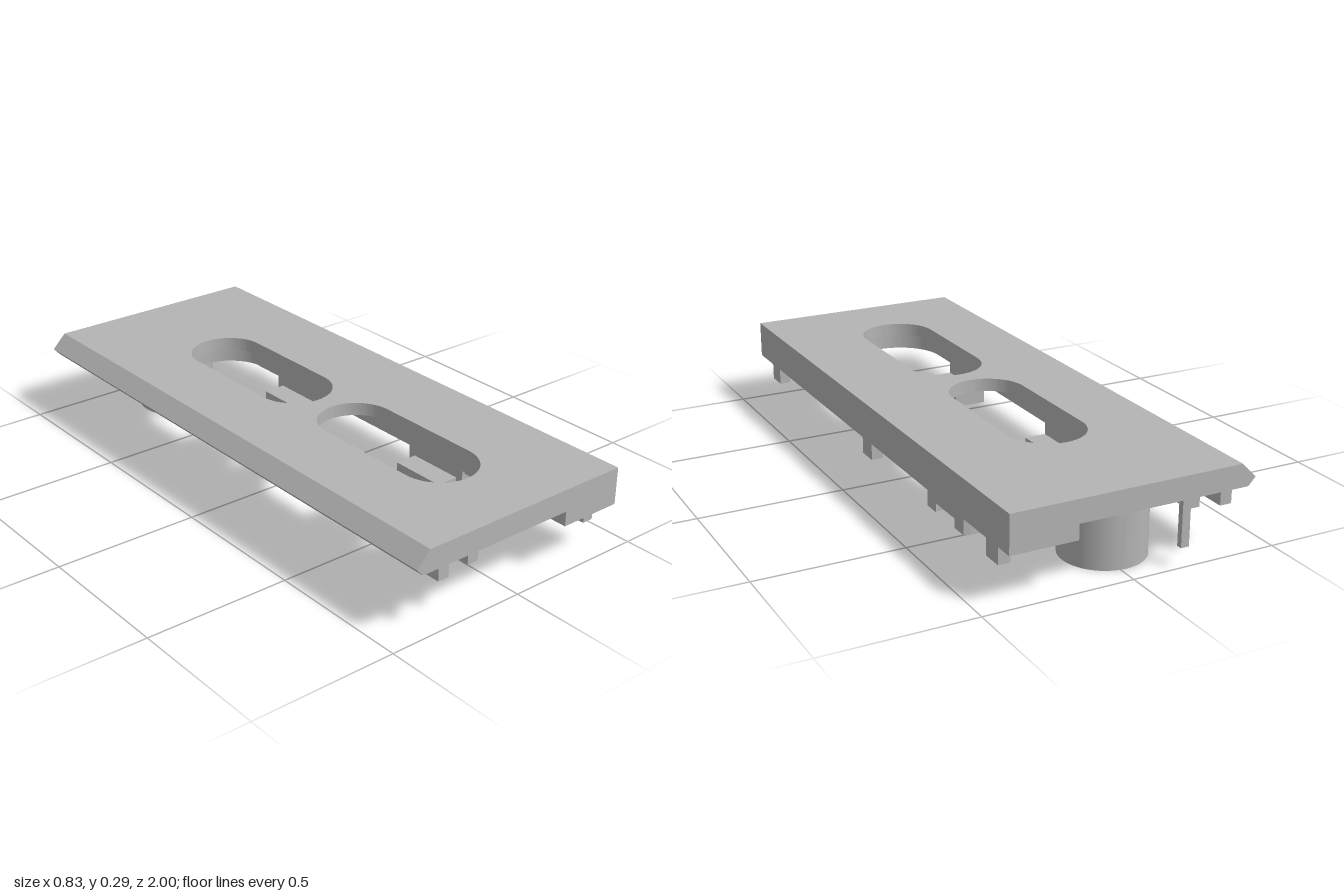
import * as THREE from 'three';
import { toCreasedNormals } from 'three/addons/utils/BufferGeometryUtils.js';

const grey = new THREE.MeshStandardMaterial({ color: 0xb4b4b4 });
grey.name = 'grey plastic';

export function createModel() {
  const model = new THREE.Group();
  model.name = 'slottedMountingPlate';

  function add(name, geometry) {
    const mesh = new THREE.Mesh(geometry, grey);
    mesh.name = name;
    model.add(mesh);
  }

  // Box given by its limits on each axis
  function box(name, x0, x1, y0, y1, z0, z1) {
    const g = new THREE.BoxGeometry(x1 - x0, y1 - y0, z1 - z0);
    g.translate((x0 + x1) / 2, (y0 + y1) / 2, (z0 + z1) / 2);
    add(name, g);
  }

  // Plan outline (x, z) extruded between two heights
  function layer(name, shape, y0, y1) {
    const g = new THREE.ExtrudeGeometry(shape, { depth: y1 - y0, bevelEnabled: false, curveSegments: 32 });
    g.rotateX(Math.PI / 2).translate(0, y1, 0);
    add(name, toCreasedNormals(g, 0.5));
  }

  function rect(x0, x1, z0, z1) {
    return new THREE.Shape().moveTo(x0, z0).lineTo(x1, z0).lineTo(x1, z1).lineTo(x0, z1).closePath();
  }

  // Round-ended slot along z
  function slot(cx, r, z0, z1) {
    const p = new THREE.Path();
    p.absarc(cx, z1 - r, r, 0, Math.PI, false);
    p.absarc(cx, z0 + r, r, Math.PI, Math.PI * 2, false);
    p.closePath();
    return p;
  }

  // Top slab with two slots
  const slab = rect(-0.37, 0.415, -1, 1);
  slab.holes.push(slot(0.003, 0.132, -0.61, 0.04), slot(0.003, 0.132, 0.11, 0.76));
  layer('topSlab', slab, 0.25, 0.295);

  // Underside layers with one long recess behind both slots
  const recess = () => slot(0.003, 0.166, -0.65, 0.8);
  const lower = rect(-0.37, 0.19, -1, 1);
  lower.holes.push(recess());
  layer('lowerSlab', lower, 0.218, 0.25);
  const pad = rect(-0.18, 0.19, -0.7, 0.85);
  pad.holes.push(recess());
  layer('recessFrame', pad, 0.187, 0.218);

  // Thick side and pointed edge
  box('thickSide', 0.19, 0.415, 0.167, 0.25, -1, 1);
  const edge = new THREE.Shape()
    .moveTo(-0.37, 0.295).lineTo(-0.42, 0.245).lineTo(-0.395, 0.218).lineTo(-0.37, 0.218).closePath();
  const edgeGeo = new THREE.ExtrudeGeometry(edge, { depth: 2, bevelEnabled: false });
  add('pointedEdge', edgeGeo.translate(0, 0, -1));

  // Long ribs, joining tab and end post
  box('outerRib', -0.335, -0.295, 0.175, 0.218, -1, 1);
  box('innerRib', -0.22, -0.18, 0.187, 0.218, -1, 1);
  box('ribTab', -0.295, -0.22, 0.187, 0.218, -0.035, 0.035);
  box('endPost', -0.19, -0.162, 0.065, 0.218, -1, -0.98);

  // Hooked clips beside each slot
  for (const z of [-0.285, 0.435]) {
    box('rightClipWall', 0.18, 0.22, 0.085, 0.187, z - 0.127, z + 0.127);
    box('rightClipArm', 0.1, 0.18, 0.085, 0.145, z - 0.1, z + 0.1);
    box('leftClipWall', -0.205, -0.165, 0.085, 0.187, z - 0.1, z + 0.1);
    box('leftClipArm', -0.165, -0.09, 0.085, 0.145, z - 0.1, z + 0.1);
  }

  // Small locating pegs
  for (const z of [-0.86, 0.03, 0.895]) {
    box('peg', 0.355, 0.395, 0.09, 0.167, z - 0.037, z + 0.037);
  }

  // Hollow round sleeve
  const sleeve = new THREE.Shape().absarc(-0.02, -0.79, 0.14, 0, Math.PI * 2, false);
  sleeve.holes.push(new THREE.Path().absarc(-0.02, -0.79, 0.095, 0, Math.PI * 2, true));
  layer('sleeve', sleeve, 0, 0.218);

  // Round socket cut off flush with the side
  const cx = 0.385, cz = -0.6, R = 0.125, r = 0.07;
  const a = Math.acos((0.415 - cx) / R), b = Math.acos((0.415 - cx) / r);
  const base = new THREE.Shape().absarc(cx, cz, R, a, Math.PI * 2 - a, false);
  base.closePath();
  layer('socketBase', base, 0.145, 0.167);
  const ring = new THREE.Shape().absarc(cx, cz, R, a, Math.PI * 2 - a, false);
  ring.absarc(cx, cz, r, Math.PI * 2 - b, b, true);
  ring.closePath();
  layer('socketRing', ring, 0.115, 0.145);

  return model;
}
